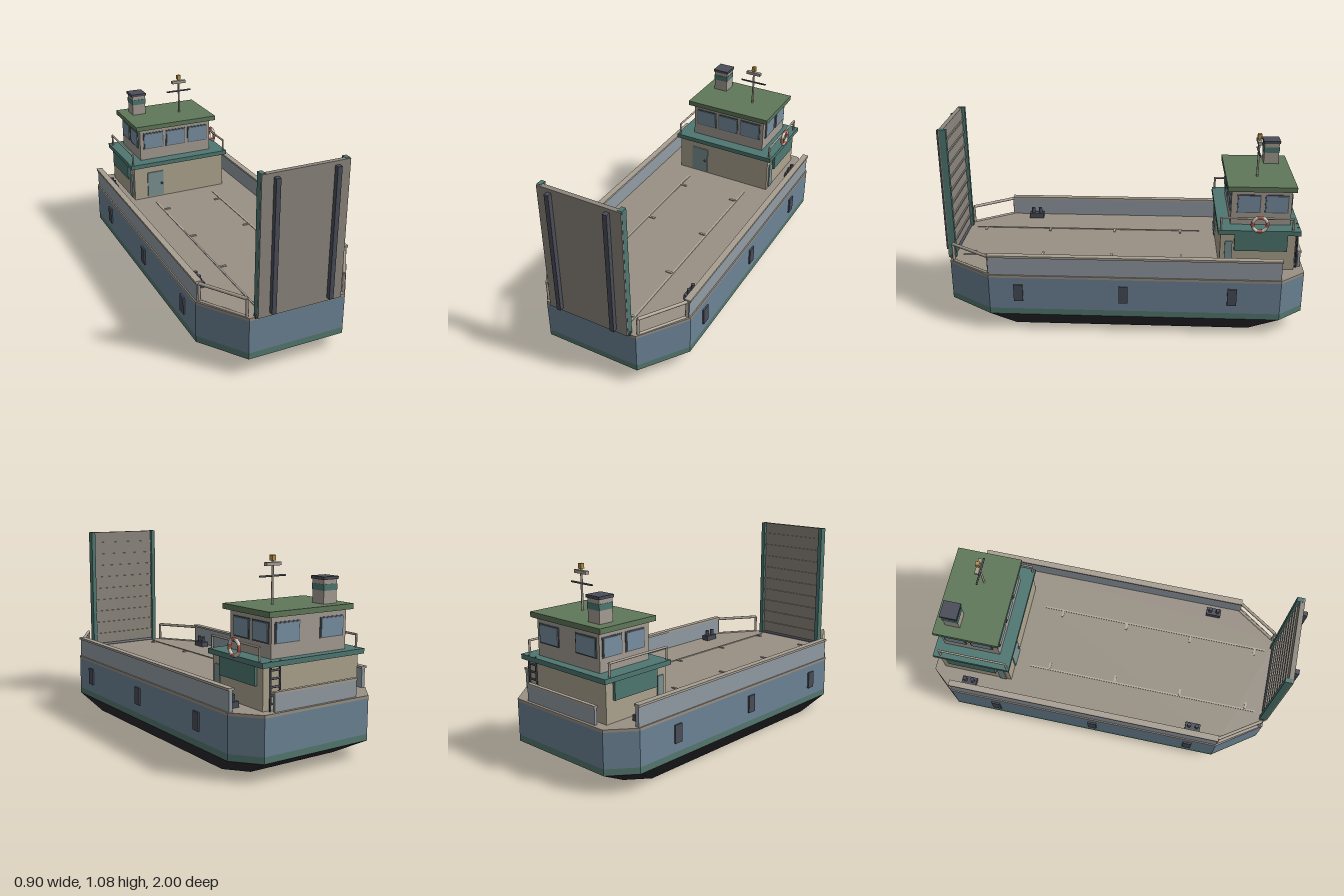
import * as THREE from 'three';

const COL = {
  black: 0x2b2b30, green: 0x54786f, blue: 0x6c8395, beige: 0xa89f92, deck: 0x999185, bulwark: 0x929ca4,
  cabin: 0xaea48f, house: 0xa59d93, teal: 0x4f7771, roof: 0x60785a, glass: 0x7890a2, dark: 0x4a4d58,
  ramp: 0x8c867d, red: 0xb5604f, white: 0xd5d0c8, yellow: 0xb8924a, door: 0x7b9392, line: 0xb3aca0, frame: 0x555b63,
};
const mats = {};
const mat = (c) => (mats[c] ??= new THREE.MeshStandardMaterial({ color: COL[c] }));

function add(parent, name, geometry, color, x = 0, y = 0, z = 0) {
  const m = new THREE.Mesh(geometry, mat(color));
  m.name = name;
  m.position.set(x, y, z);
  parent.add(m);
  return m;
}

// Box given by its minimum and maximum on each axis
function box(parent, name, color, x0, x1, y0, y1, z0, z1) {
  return add(parent, name, new THREE.BoxGeometry(Math.abs(x1 - x0), y1 - y0, Math.abs(z1 - z0)), color,
    (x0 + x1) / 2, (y0 + y1) / 2, (z0 + z1) / 2);
}

// Round bar between two points
function rod(parent, name, color, a, b, r = 0.006) {
  const p = new THREE.Vector3(...a), q = new THREE.Vector3(...b);
  const m = add(parent, name, new THREE.CylinderGeometry(r, r, p.distanceTo(q), 10), color);
  m.position.copy(p).lerp(q, 0.5);
  m.quaternion.setFromUnitVectors(new THREE.Vector3(0, 1, 0), q.sub(p).normalize());
  return m;
}

function group(parent, name) {
  const g = new THREE.Group();
  g.name = name;
  parent.add(g);
  return g;
}

// Eight-sided hull plan, extruded upward from y0 to y1
const PLAN = [[0.27, 0.957], [0.443, 0.71], [0.443, -0.865], [0.33, -1]];
function hullBand(parent, name, color, y0, y1, bottomScale = 1) {
  const pts = [...PLAN, ...PLAN.map(([x, z]) => [-x, z]).reverse()];
  const shape = new THREE.Shape(pts.map(([x, z]) => new THREE.Vector2(x, -z)));
  const geo = new THREE.ExtrudeGeometry(shape, { depth: y1 - y0, bevelEnabled: false });
  geo.rotateX(-Math.PI / 2);
  const p = geo.attributes.position;
  for (let i = 0; i < p.count; i++) {
    if (p.getY(i) < 0.001) p.setXYZ(i, p.getX(i) * bottomScale, p.getY(i), p.getZ(i) * bottomScale);
  }
  geo.computeVertexNormals();
  add(parent, name, geo, color, 0, y0, 0);
}

// Window pane with a slim frame; axis is the facing direction
function pane(parent, axis, sign, face, u, width, y0, y1) {
  const layers = [['windowFrame', 'frame', 0.006, 0.004], ['windowPane', 'glass', 0, 0.008]];
  for (const [name, color, grow, out] of layers) {
    const a = u - width / 2 - grow, b = u + width / 2 + grow;
    const n0 = sign * (face - 0.005), n1 = sign * (face + out);
    if (axis === 'x') box(parent, name, color, n0, n1, y0 - grow, y1 + grow, a, b);
    else box(parent, name, color, a, b, y0 - grow, y1 + grow, n0, n1);
  }
}

function buildHull(root) {
  const hull = group(root, 'hull');
  hullBand(hull, 'bottom', 'black', 0, 0.1, 0.82);
  hullBand(hull, 'waterline', 'green', 0.1, 0.135);
  hullBand(hull, 'topsides', 'blue', 0.135, 0.32);
  hullBand(hull, 'deck', 'deck', 0.32, 0.335);
  for (const s of [-1, 1]) {
    box(hull, 'bulwark', 'bulwark', s * 0.415, s * 0.436, 0.335, 0.44, -0.865, 0.71);
    box(hull, 'bulwarkCap', 'beige', s * 0.408, s * 0.443, 0.438, 0.45, -0.868, 0.712);
    for (const z of [0.55, -0.02, -0.605]) box(hull, 'fender', 'dark', s * 0.435, s * 0.452, 0.185, 0.282, z - 0.025, z + 0.025);
    // Bow rail along the slanted edge
    const a = [s * 0.422, 0.335, 0.71], b = [s * 0.272, 0.335, 0.935];
    const mid = a.map((v, i) => (v + b[i]) / 2);
    const up = ([x, , z]) => [x, 0.435, z];
    rod(hull, 'bowRail', 'beige', up(a), up(b), 0.009);
    for (const p of [a, b]) rod(hull, 'bowRailPost', 'beige', p, up(p), 0.008);
    const sill = rod(hull, 'bowCoaming', 'beige', a, b, 0.008);
    sill.position.copy(new THREE.Vector3(...mid));
    // Lane lines with short ticks
    box(hull, 'laneLine', 'line', s * 0.188, s * 0.197, 0.334, 0.339, -0.45, 0.9);
    for (const z of [-0.335, 0.06, 0.45, 0.84]) box(hull, 'laneTick', 'line', s * 0.15, s * 0.19, 0.334, 0.341, z - 0.006, z + 0.006);
    // Mooring bitts
    for (const z of [-0.775, 0.56]) {
      box(hull, 'bittBase', 'dark', s * 0.343, s * 0.387, 0.335, 0.365, z - 0.043, z + 0.043);
      for (const d of [-0.022, 0.022]) add(hull, 'bittPost', new THREE.CylinderGeometry(0.011, 0.011, 0.035, 12), 'dark', s * 0.365, 0.38, z + d);
    }
  }
  box(hull, 'sternBulwark', 'bulwark', -0.26, 0.26, 0.335, 0.422, -0.985, -0.97);
  box(hull, 'sternBulwarkCap', 'beige', -0.262, 0.262, 0.42, 0.432, -0.988, -0.967);
}

function buildRamp(root) {
  const ramp = group(root, 'bowRamp');
  box(ramp, 'rampPlate', 'ramp', -0.233, 0.233, 0.335, 1.08, 0.95, 0.975);
  for (const s of [-1, 1]) {
    box(ramp, 'rampSideRail', 'teal', s * 0.21, s * 0.234, 0.335, 1.082, 0.932, 0.968);
    box(ramp, 'rampSkid', 'dark', s * 0.148, s * 0.172, 0.355, 1.06, 0.97, 1.0);
  }
  for (let i = 0; i < 9; i++) {
    const y = 0.41 + i * 0.075;
    box(ramp, 'rampCleat', 'ramp', -0.21, 0.21, y - 0.005, y + 0.005, 0.942, 0.955);
  }
  rod(ramp, 'rampHinge', 'dark', [-0.24, 0.337, 0.953], [0.24, 0.337, 0.953], 0.012);
}

function buildCabin(root) {
  const cabin = group(root, 'lowerCabin');
  box(cabin, 'cabinWalls', 'cabin', -0.3, 0.3, 0.335, 0.55, -0.945, -0.54);
  box(cabin, 'upperDeck', 'teal', -0.322, 0.322, 0.546, 0.572, -0.968, -0.525);
  box(cabin, 'frontDoor', 'door', -0.215, -0.11, 0.345, 0.505, -0.545, -0.533);
  add(cabin, 'doorKnob', new THREE.SphereGeometry(0.007, 10, 8), 'dark', -0.125, 0.425, -0.529);
  for (const s of [-1, 1]) {
    box(cabin, 'sideDoor', 'door', s * 0.295, s * 0.308, 0.345, 0.5, -0.605, -0.565);
    box(cabin, 'sideBoard', 'teal', s * 0.295, s * 0.316, 0.45, 0.546, -0.9, -0.615);
    // Upper deck rail
    const x = s * 0.306;
    rod(cabin, 'sideRail', 'beige', [x, 0.638, -0.925], [x, 0.638, -0.54]);
    for (const z of [-0.925, -0.54]) rod(cabin, 'sideRailPost', 'beige', [x, 0.57, z], [x, 0.641, z]);
    // Ladder on the aft wall
    rod(cabin, 'ladderRail', 'dark', [0.24 + s * 0.028, 0.335, -0.96], [0.24 + s * 0.028, 0.575, -0.96], 0.005);
  }
  for (let y = 0.37; y < 0.56; y += 0.04) rod(cabin, 'ladderRung', 'dark', [0.212, y, -0.96], [0.268, y, -0.96], 0.005);
  // Life ring in alternating bands
  const ring = group(cabin, 'lifeRing');
  ring.position.set(0.32, 0.61, -0.745);
  ring.rotation.y = Math.PI / 2;
  for (let i = 0; i < 8; i++) {
    const band = add(ring, 'lifeRingBand', new THREE.TorusGeometry(0.04, 0.0095, 10, 8, Math.PI / 4), i % 2 ? 'white' : 'red');
    band.rotation.z = (i - 0.5) * Math.PI / 4;
  }
}

function buildWheelhouse(root) {
  const house = group(root, 'wheelhouse');
  box(house, 'houseWalls', 'house', -0.235, 0.235, 0.572, 0.775, -0.92, -0.595);
  box(house, 'roof', 'roof', -0.265, 0.265, 0.772, 0.8, -0.94, -0.57);
  for (const x of [-0.148, 0, 0.148]) pane(house, 'z', 1, -0.595, x, 0.12, 0.648, 0.74);
  for (const x of [-0.14, 0.14]) pane(house, 'z', -1, 0.92, x, 0.14, 0.648, 0.74);
  for (const s of [-1, 1]) for (const z of [-0.69, -0.84]) pane(house, 'x', s, 0.235, z, 0.115, 0.648, 0.74);

  const funnel = group(root, 'funnel');
  funnel.position.set(-0.16, 0, -0.842);
  box(funnel, 'funnelTrunk', 'house', -0.042, 0.042, 0.8, 0.92, -0.042, 0.042);
  box(funnel, 'funnelBand', 'teal', -0.044, 0.044, 0.866, 0.898, -0.044, 0.044);
  box(funnel, 'funnelCap', 'dark', -0.048, 0.048, 0.92, 0.935, -0.048, 0.048);

  const mast = group(root, 'mast');
  mast.position.set(0.09, 0, -0.742);
  rod(mast, 'mastPole', 'beige', [0, 0.8, 0], [0, 1.015, 0], 0.006);
  rod(mast, 'mastYard', 'dark', [-0.08, 0.94, 0], [0.08, 0.94, 0], 0.005);
  box(mast, 'radarBar', 'beige', -0.045, 0.045, 0.99, 1.007, -0.011, 0.011);
  box(mast, 'mastLight', 'yellow', -0.011, 0.011, 1.015, 1.042, -0.011, 0.011);
}

export function createModel() {
  const root = new THREE.Group();
  root.name = 'landingBarge';
  buildHull(root);
  buildRamp(root);
  buildCabin(root);
  buildWheelhouse(root);
  return root;
}
